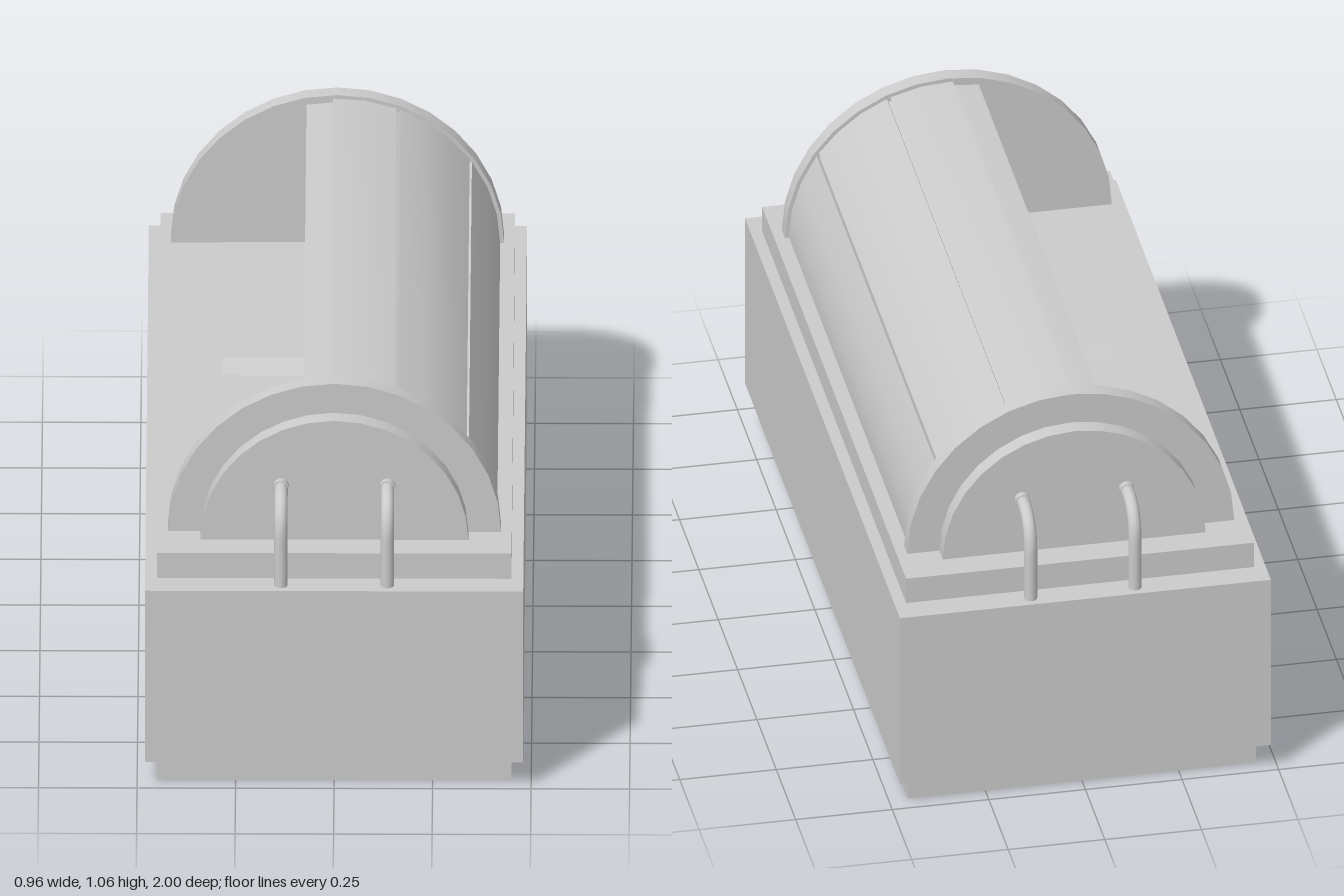
import * as THREE from 'three';
import { toCreasedNormals } from 'three/addons/utils/BufferGeometryUtils.js';

const CY = 0.637; // height of the lid axis and of the deck

export function createModel() {
  const group = new THREE.Group();
  const grey = new THREE.MeshStandardMaterial({ color: 0xcccccc });
  const greyOpen = new THREE.MeshStandardMaterial({ color: 0xcccccc, side: THREE.DoubleSide });

  const add = (name, geometry, material = grey) => {
    const mesh = new THREE.Mesh(geometry, material);
    mesh.name = name;
    group.add(mesh);
    return mesh;
  };

  // Hollow stepped base, open below: rings of half width, half depth, height
  const rings = [
    [0.45, 0.955, 0], [0.45, 0.955, 0.075], [0.48, 1, 0.075],
    [0.48, 1, 0.565], [0.45, 0.93, 0.565], [0.45, 0.93, CY], [0, 0, CY],
  ];
  const corners = [[1, 1], [1, -1], [-1, -1], [-1, 1]];
  const at = (ring, k) => [ring[0] * corners[k % 4][0], ring[2], ring[1] * corners[k % 4][1]];
  const points = [];
  for (let i = 0; i < rings.length - 1; i++) {
    for (let k = 0; k < 4; k++) {
      const a = at(rings[i], k), b = at(rings[i], k + 1);
      const c = at(rings[i + 1], k + 1), d = at(rings[i + 1], k);
      points.push(...a, ...b, ...c);
      if (i < rings.length - 2) points.push(...a, ...c, ...d);
    }
  }
  const baseGeo = new THREE.BufferGeometry();
  baseGeo.setAttribute('position', new THREE.Float32BufferAttribute(points, 3));
  baseGeo.computeVertexNormals();
  add('base', baseGeo, greyOpen);

  // Curved shell swept between two angles (degrees) along z
  const arcShell = (inner, outer, from, to, length) => {
    const steps = Math.max(2, Math.round(Math.abs(from - to) / 11.25));
    const outline = [];
    for (let i = 0; i <= steps; i++) {
      const t = THREE.MathUtils.degToRad(from + (to - from) * i / steps);
      outline.push([Math.cos(t), Math.sin(t)]);
    }
    const shape = new THREE.Shape([
      ...outline.map(([x, y]) => new THREE.Vector2(x * outer, y * outer)),
      ...outline.reverse().map(([x, y]) => new THREE.Vector2(x * inner, y * inner)),
    ]);
    const geo = new THREE.ExtrudeGeometry(shape, { depth: length, bevelEnabled: false });
    geo.translate(0, CY, -length / 2);
    return toCreasedNormals(geo, 0.5);
  };

  // Half-round lid, turned open towards +x, with raised panels
  add('lidShell', arcShell(0.385, 0.403, 101.25, -78.75, 1.54));
  const seams = [92.3, 68, 35, -12.5, -45.5, -69.8];
  for (let i = 0; i < seams.length - 1; i++) {
    add('lidPanel', arcShell(0.402, 0.413, seams[i] - 0.7, seams[i + 1] + 0.7, 1.54));
  }

  // Two mattress halves with sloping ends
  const mattress = new THREE.Shape();
  mattress.moveTo(-0.36, 0);
  mattress.lineTo(0.36, 0);
  mattress.lineTo(0.315, 0.047);
  mattress.lineTo(-0.315, 0.047);
  mattress.closePath();
  for (const z of [-0.368, 0.362]) {
    const geo = new THREE.ExtrudeGeometry(mattress, { depth: 0.58, bevelEnabled: false });
    geo.translate(0, 0, -0.29);
    geo.rotateY(Math.PI / 2);
    geo.translate(0, CY, z);
    add('mattress', geo);
  }

  // End plates and bent pipes, the same at both ends
  for (const side of [1, -1]) {
    for (const [name, radius, depth, z] of [
      ['endPlate', 0.423, 0.042, 0.79],
      ['endCap', 0.34, 0.045, 0.833],
    ]) {
      const geo = new THREE.CylinderGeometry(radius, radius, depth, 32);
      geo.rotateX(Math.PI / 2);
      add(name, geo).position.set(0, CY, side * z);
    }
    for (const x of [-0.135, 0.135]) {
      const path = new THREE.CurvePath();
      const v = (y, z) => new THREE.Vector3(x, y, side * z);
      path.add(new THREE.LineCurve3(v(0.56, 0.967), v(0.7, 0.967)));
      path.add(new THREE.CubicBezierCurve3(v(0.7, 0.967), v(0.76, 0.967), v(0.793, 0.935), v(0.793, 0.88)));
      path.add(new THREE.LineCurve3(v(0.793, 0.88), v(0.793, 0.85)));
      add('pipe', new THREE.TubeGeometry(path, 24, 0.017, 12));
      const collar = new THREE.CylinderGeometry(0.02, 0.02, 0.02, 12);
      collar.rotateX(Math.PI / 2);
      add('pipeCollar', collar).position.set(x, 0.793, side * 0.862);
    }
  }

  return group;
}
